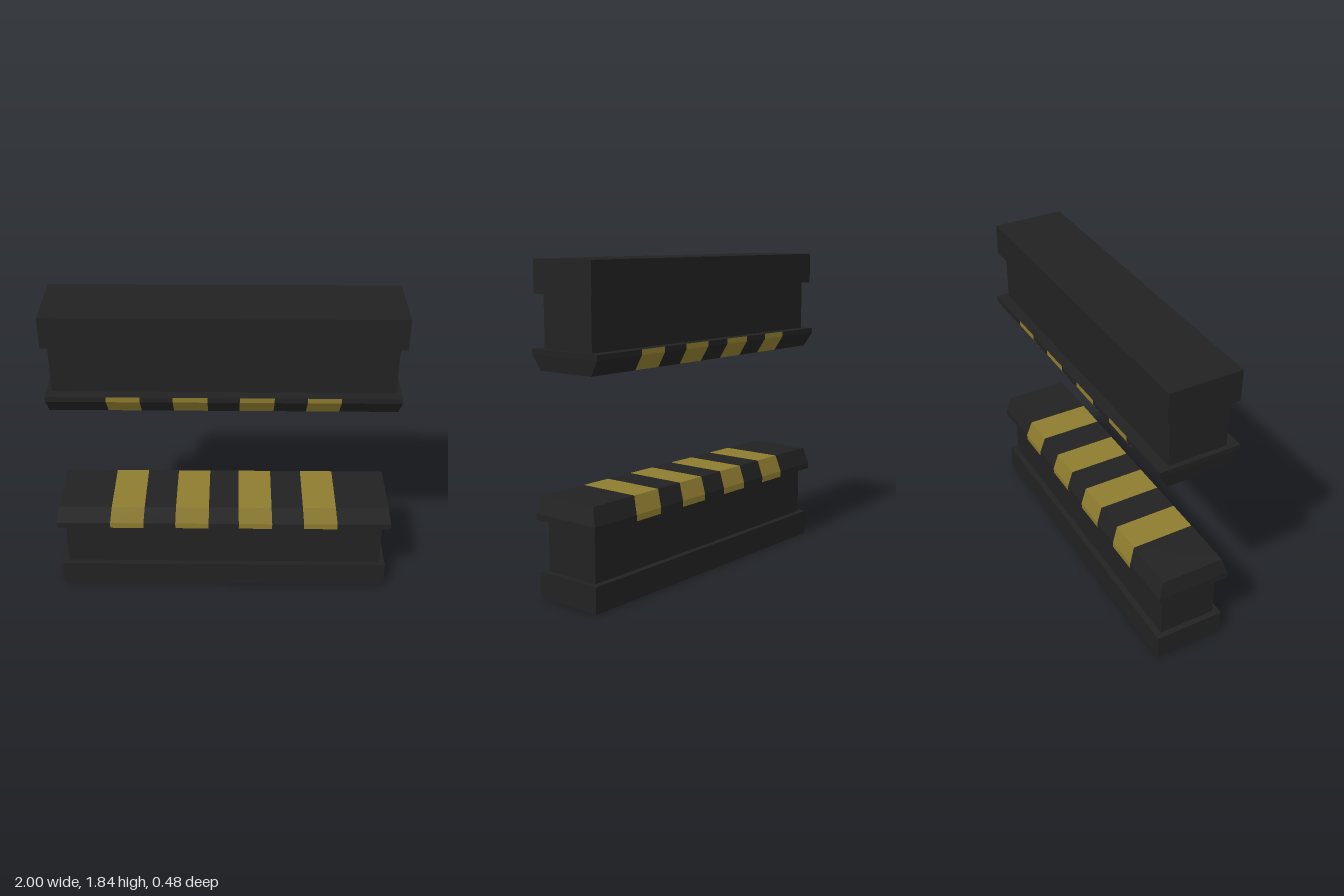
import * as THREE from 'three';

const darkSteel = new THREE.MeshStandardMaterial({ color: 0x222222 });
darkSteel.name = 'darkSteel';
const warningYellow = new THREE.MeshStandardMaterial({ color: 0x8e7c2f });
warningYellow.name = 'warningYellow';

// Solid box between two heights, given half length and half depth
function block(name, y0, y1, halfX, halfZ) {
  const mesh = new THREE.Mesh(new THREE.BoxGeometry(halfX * 2, y1 - y0, halfZ * 2), darkSteel);
  mesh.position.y = (y0 + y1) / 2;
  mesh.name = name;
  return mesh;
}

// Bevelled cap from stacked rectangles [y, halfX, halfZ], cut along x into dark and yellow bands.
// The stripes wrap the sides and the face turned towards the opening.
function stripedCap(name, rings, stripes, openUp) {
  const dark = [], yellow = [];
  const quad = (list, a, b, c, d) => list.push(...a, ...b, ...c, ...a, ...c, ...d);
  const point = ([y, hx, hz], t, s) => [t * hx, y, s * hz];
  const cuts = [-1, ...stripes.map((t) => -t).reverse(), ...stripes, 1];
  const low = rings[0], high = rings[rings.length - 1];

  for (let i = 0; i < cuts.length - 1; i++) {
    const a = cuts[i], b = cuts[i + 1];
    const paint = i % 2 ? yellow : dark;
    for (let r = 0; r < rings.length - 1; r++) {
      for (const s of [1, -1]) {
        const [from, to] = s > 0 ? [a, b] : [b, a];
        quad(paint, point(rings[r], from, s), point(rings[r], to, s),
          point(rings[r + 1], to, s), point(rings[r + 1], from, s));
      }
    }
    quad(openUp ? paint : dark, point(high, a, 1), point(high, b, 1), point(high, b, -1), point(high, a, -1));
    quad(openUp ? dark : paint, point(low, a, -1), point(low, b, -1), point(low, b, 1), point(low, a, 1));
  }
  // End faces
  for (let r = 0; r < rings.length - 1; r++) {
    for (const e of [1, -1]) {
      quad(dark, point(rings[r], e, e), point(rings[r], e, -e),
        point(rings[r + 1], e, -e), point(rings[r + 1], e, e));
    }
  }

  const geometry = new THREE.BufferGeometry();
  geometry.setAttribute('position', new THREE.Float32BufferAttribute([...dark, ...yellow], 3));
  geometry.addGroup(0, dark.length / 3, 0);
  geometry.addGroup(dark.length / 3, yellow.length / 3, 1);
  geometry.computeVertexNormals();
  const mesh = new THREE.Mesh(geometry, [darkSteel, warningYellow]);
  mesh.name = name;
  return mesh;
}

export function createModel() {
  const model = new THREE.Group();
  model.name = 'doorFrame';

  // Lower beam: foot, web and striped sill
  const lower = new THREE.Group();
  lower.name = 'lowerBeam';
  lower.add(
    block('lowerFoot', 0, 0.15, 0.99, 0.21),
    block('lowerWeb', 0.15, 0.44, 0.955, 0.173),
    stripedCap('lowerSill', [[0.44, 1, 0.22], [0.475, 1, 0.22], [0.575, 0.98, 0.19]],
      [0.09, 0.29, 0.48, 0.68], true),
  );

  // Upper beam: striped lip, web and head
  const upper = new THREE.Group();
  upper.name = 'upperBeam';
  upper.add(
    stripedCap('upperLip', [[1.25, 0.975, 0.185], [1.335, 0.985, 0.238], [1.365, 0.985, 0.238]],
      [0.09, 0.285, 0.47, 0.66], false),
    block('upperWeb', 1.365, 1.655, 0.955, 0.173),
    block('upperHead', 1.655, 1.835, 0.99, 0.21),
  );

  model.add(lower, upper);
  return model;
}
